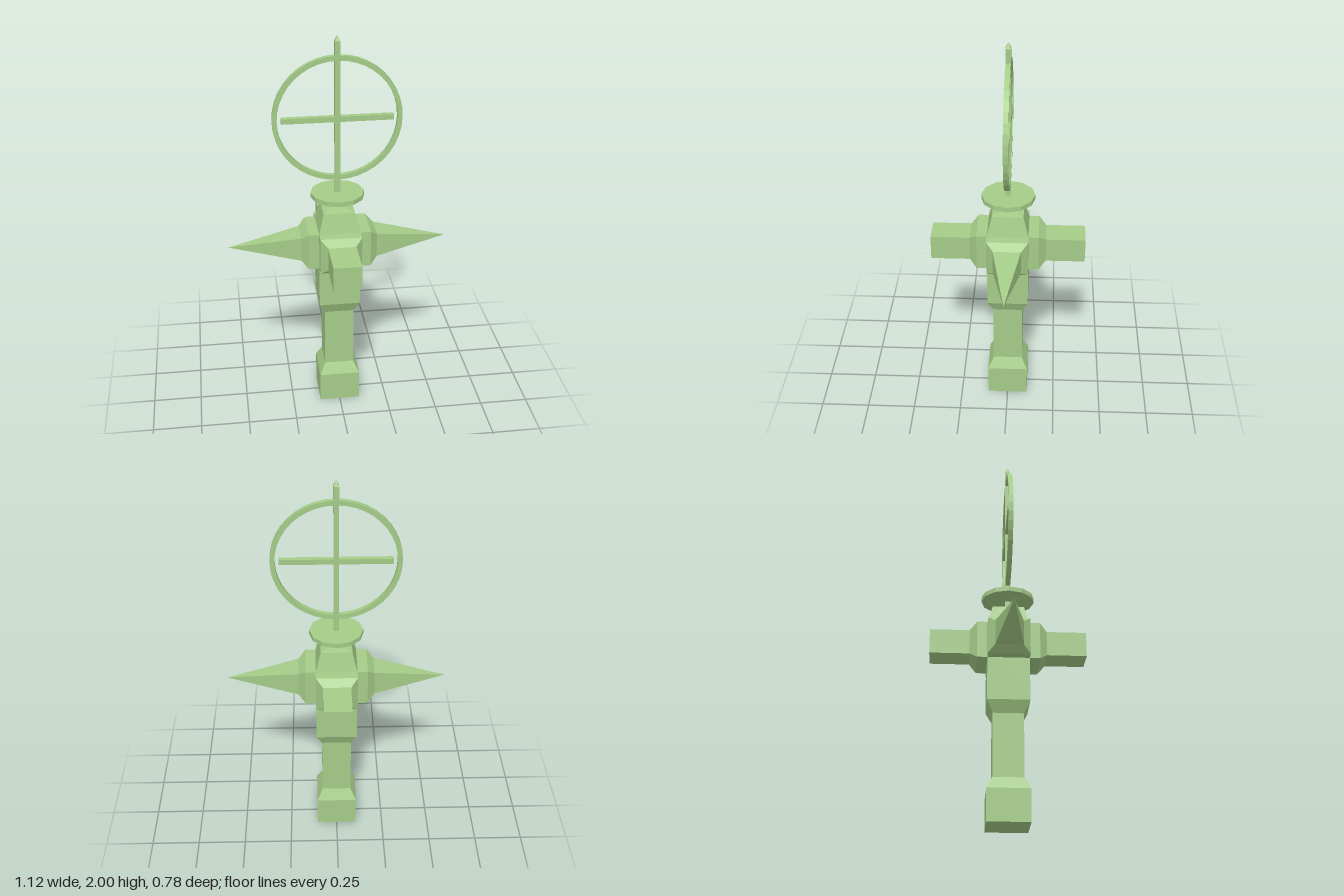
import * as THREE from 'three';

const material = new THREE.MeshStandardMaterial({ color: 0xa4cc88, flatShading: true });

// Square-section solid along +y from [halfWidth, height] pairs
function squareTurned(profile) {
  const points = profile.map(([h, y]) => new THREE.Vector2(h * Math.SQRT2, y));
  return new THREE.LatheGeometry(points, 4).rotateY(Math.PI / 4);
}

export function createModel() {
  const group = new THREE.Group();
  const add = (name, geometry, x = 0, y = 0, z = 0) => {
    const mesh = new THREE.Mesh(geometry, material);
    mesh.name = name;
    mesh.position.set(x, y, z);
    group.add(mesh);
    return mesh;
  };

  // Grip with flared foot and shoulder, closing in a tapered cap
  add('handle', squareTurned([
    [0, 0], [0.105, 0], [0.105, 0.16], [0.076, 0.22], [0.076, 0.54],
    [0.105, 0.6], [0.105, 1.01], [0.079, 1.112], [0, 1.125],
  ]));

  // Four bevelled sockets: blunt bars front and back, spikes left and right
  const hubY = 0.916;
  const socket = [[0, 0], [0.105, 0], [0.105, 0.157], [0.07, 0.193], [0, 0.193]];
  const bar = [[0, 0.18], [0.07, 0.18], [0.07, 0.392], [0, 0.392]];
  const spike = [[0, 0.18], [0.07, 0.193], [0, 0.558]];
  const arms = [
    ['front', 0, 'Bar', bar], ['left', 1, 'Spike', spike],
    ['back', 2, 'Bar', bar], ['right', 3, 'Spike', spike],
  ];
  for (const [side, turn, kind, profile] of arms) {
    for (const [part, shape] of [['Socket', socket], [kind, profile]]) {
      const geometry = squareTurned(shape).rotateX(Math.PI / 2)
        .rotateY(turn * Math.PI / 2).scale(1, 0.91, 1);
      add(side + part, geometry, 0, hubY, 0);
    }
  }

  // Disc under the ring
  add('disc', new THREE.CylinderGeometry(0.135, 0.135, 0.024, 12), 0, 1.187, 0);

  // Pointed rod and crossbar
  add('rod', squareTurned([[0, 1.1], [0.0135, 1.1], [0.0135, 1.972], [0, 2]]));
  add('crossbar', new THREE.BoxGeometry(0.548, 0.027, 0.027), 0, 1.586, 0);

  // Upright ring with a square section
  const section = [[0.294, -0.0125], [0.318, -0.0125], [0.318, 0.0125], [0.294, 0.0125], [0.294, -0.0125]]
    .map(([r, y]) => new THREE.Vector2(r, y));
  add('ring', new THREE.LatheGeometry(section, 40).rotateX(Math.PI / 2), 0, 1.585, 0);

  return group;
}
